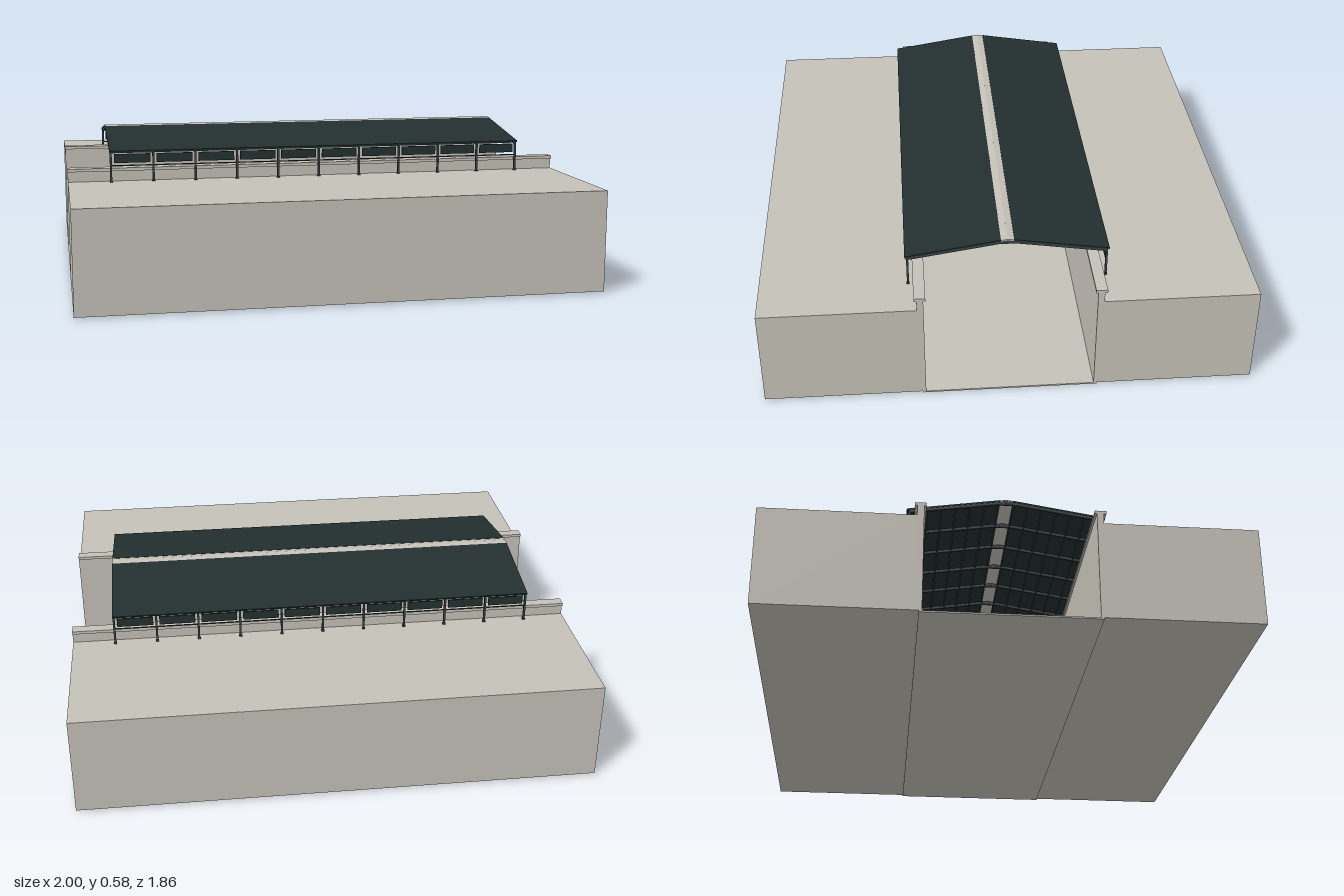
import * as THREE from 'three';

const concrete = new THREE.MeshStandardMaterial({ color: 0xc5c1b8 });
concrete.name = 'concrete';
const roofing = new THREE.MeshStandardMaterial({ color: 0x22302f });
roofing.name = 'dark green roofing';
const steel = new THREE.MeshStandardMaterial({ color: 0x394145 });
steel.name = 'grey steel';

const BAYS = 10, BAY = 0.1665, HALF = BAY * BAYS / 2;
const RIDGE = 0.582, PITCH = 0.157, SLOPE = 0.387;

// Box given by its min and max corners
function box(parent, name, mat, [x0, y0, z0], [x1, y1, z1]) {
  const mesh = new THREE.Mesh(new THREE.BoxGeometry(x1 - x0, y1 - y0, z1 - z0), mat);
  mesh.position.set((x0 + x1) / 2, (y0 + y1) / 2, (z0 + z1) / 2);
  mesh.name = name;
  parent.add(mesh);
  return mesh;
}

// Everything on one side of the cutting, built toward +z
function buildSide() {
  const side = new THREE.Group();

  // Ground block, retaining wall and coping
  box(side, 'groundBlock', concrete, [-1, 0.006, 0.345], [1, 0.397, 0.928]);
  box(side, 'retainingWall', concrete, [-1, 0.006, 0.32], [1, 0.438, 0.345]);
  box(side, 'wallCoping', concrete, [-1, 0.438, 0.312], [1, 0.45, 0.355]);

  // Posts
  for (let i = 0; i <= BAYS; i++) {
    const x = -HALF + i * BAY;
    box(side, 'post', steel, [x - 0.004, 0.397, 0.368], [x + 0.004, 0.516, 0.376]);
    box(side, 'postBase', steel, [x - 0.006, 0.397, 0.366], [x + 0.006, 0.401, 0.378]);
  }

  // Side panels between the posts, with rails above and below
  for (let i = 0; i < BAYS; i++) {
    const x = -HALF + (i + 0.5) * BAY;
    box(side, 'sidePanel', roofing, [x - 0.071, 0.473, 0.371], [x + 0.071, 0.508, 0.377]);
  }
  box(side, 'lowerRail', steel, [-HALF, 0.46, 0.37], [HALF, 0.464, 0.374]);
  box(side, 'eavesBeam', steel, [-HALF, 0.512, 0.368], [HALF, 0.519, 0.376]);

  // Roof slope: local z runs down the pitch from the ridge
  const slope = new THREE.Group();
  slope.name = 'roofSlope';
  slope.position.y = RIDGE;
  slope.rotation.x = PITCH;
  side.add(slope);
  box(slope, 'roofSheet', roofing, [-0.838, -0.006, 0.025], [0.838, 0, SLOPE]);
  box(slope, 'ridgeSkylight', concrete, [-0.838, -0.006, 0], [0.838, -0.001, 0.025]);
  for (let i = 0; i <= BAYS; i++) {
    const x = -HALF + i * BAY;
    box(slope, 'rafter', steel, [x - 0.004, -0.017, 0], [x + 0.004, -0.006, 0.378]);
  }
  for (let i = 0; i < 7; i++) {
    const z = 0.03 + i * 0.056;
    box(slope, 'purlin', steel, [-HALF, -0.013, z - 0.003], [HALF, -0.006, z + 0.003]);
  }
  return side;
}

export function createModel() {
  const model = new THREE.Group();
  model.name = 'coveredCutting';

  box(model, 'floorSlab', concrete, [-1, 0, -0.332], [1, 0.006, 0.332]);

  // Two mirrored sides
  const front = buildSide();
  front.name = 'frontSide';
  const back = buildSide();
  back.name = 'backSide';
  back.rotation.y = Math.PI;
  model.add(front, back);

  // Triangular gussets under the ridge
  const shape = new THREE.Shape([
    new THREE.Vector2(-0.075, 0.559),
    new THREE.Vector2(0.075, 0.559),
    new THREE.Vector2(0, 0.573),
  ]);
  const gussetGeo = new THREE.ExtrudeGeometry(shape, { depth: 0.006, bevelEnabled: false });
  gussetGeo.translate(0, 0, -0.003).rotateY(Math.PI / 2);
  for (let i = 0; i <= BAYS; i++) {
    const gusset = new THREE.Mesh(gussetGeo, steel);
    gusset.name = 'ridgeGusset';
    gusset.position.x = -HALF + i * BAY;
    model.add(gusset);
  }
  return model;
}
